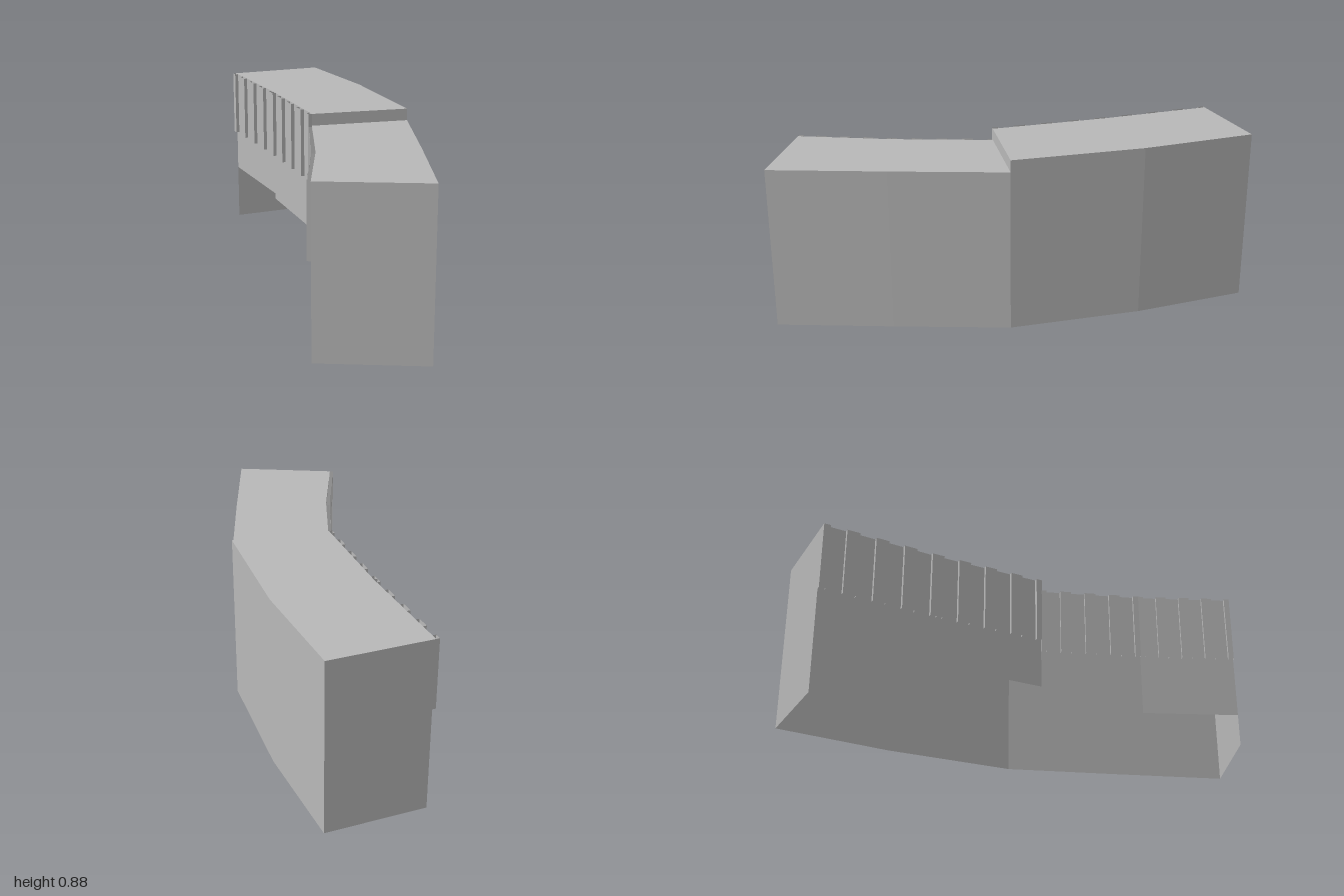
import * as THREE from 'three';

export function createModel() {
  const model = new THREE.Group();
  model.name = 'curvedTerrace';
  const grey = new THREE.MeshStandardMaterial({ color: 0xb8b8b8, side: THREE.DoubleSide });
  grey.name = 'concrete grey';

  // Plan of the curved block as [x, z], from the right end to the left end
  const front = [[-0.965, -0.6], [-0.47, -0.24], [-0.01, 0.13], [0.27, 0.57], [0.5, 1]];
  const back = [[-0.66, -1], [-0.17, -0.66], [0.345, -0.22], [0.66, 0.27], [0.97, 0.765]];
  const roofY = [0.88, 0.88, 0.82, 0.82];
  const wallFootY = [0.305, 0.275, 0.21, 0.16];

  // Collects four-cornered faces into one flat-shaded mesh
  function part(name, build) {
    const pos = [];
    const quad = (a, b, c, d) => pos.push(...a, ...b, ...c, ...a, ...c, ...d);
    const wall = ([ax, az], [bx, bz], y0, y1) =>
      quad([ax, y0, az], [bx, y0, bz], [bx, y1, bz], [ax, y1, az]);
    build(quad, wall);
    const g = new THREE.BufferGeometry();
    g.setAttribute('position', new THREE.Float32BufferAttribute(pos, 3));
    g.computeVertexNormals();
    const mesh = new THREE.Mesh(g, grey);
    mesh.name = name;
    model.add(mesh);
  }

  // Flat roofs at two heights
  part('roof', (quad) => roofY.forEach((y, i) => {
    const at = ([x, z]) => [x, y, z];
    quad(at(front[i]), at(front[i + 1]), at(back[i + 1]), at(back[i]));
  }));

  // Upright between the two roof heights
  part('roofStep', (quad, wall) => wall(front[2], back[2], 0.82, 0.88));

  // Outer wall reaches the ground, inner wall stops above it in steps
  part('backWall', (quad, wall) => roofY.forEach((y, i) => wall(back[i + 1], back[i], 0, y)));
  part('frontWall', (quad, wall) =>
    roofY.forEach((y, i) => wall(front[i], front[i + 1], wallFootY[i], y)));
  part('endWalls', (quad, wall) => {
    wall(back[0], front[0], 0, 0.88);
    wall(front[4], back[4], 0, 0.82);
  });

  // Hollow upright ribs, four bays to each wall face, half ribs at its ends
  const bays = 4, halfRib = 0.22, depth = 0.018;
  part('facadeRibs', (quad, wall) => roofY.forEach((top, i) => {
    const [ax, az] = front[i], [bx, bz] = front[i + 1];
    const dx = bx - ax, dz = bz - az, len = Math.hypot(dx, dz);
    const at = (t, out) => [ax + dx * t - dz / len * out, az + dz * t + dx / len * out];
    for (let k = 0; k <= bays; k++) {
      const t0 = Math.max(0, (k - halfRib) / bays), t1 = Math.min(1, (k + halfRib) / bays);
      const path = [at(t0, 0), at(t0, depth), at(t1, depth), at(t1, 0)];
      for (let j = 0; j < 3; j++) wall(path[j], path[j + 1], top - 0.35, top);
    }
  }));

  return model;
}
